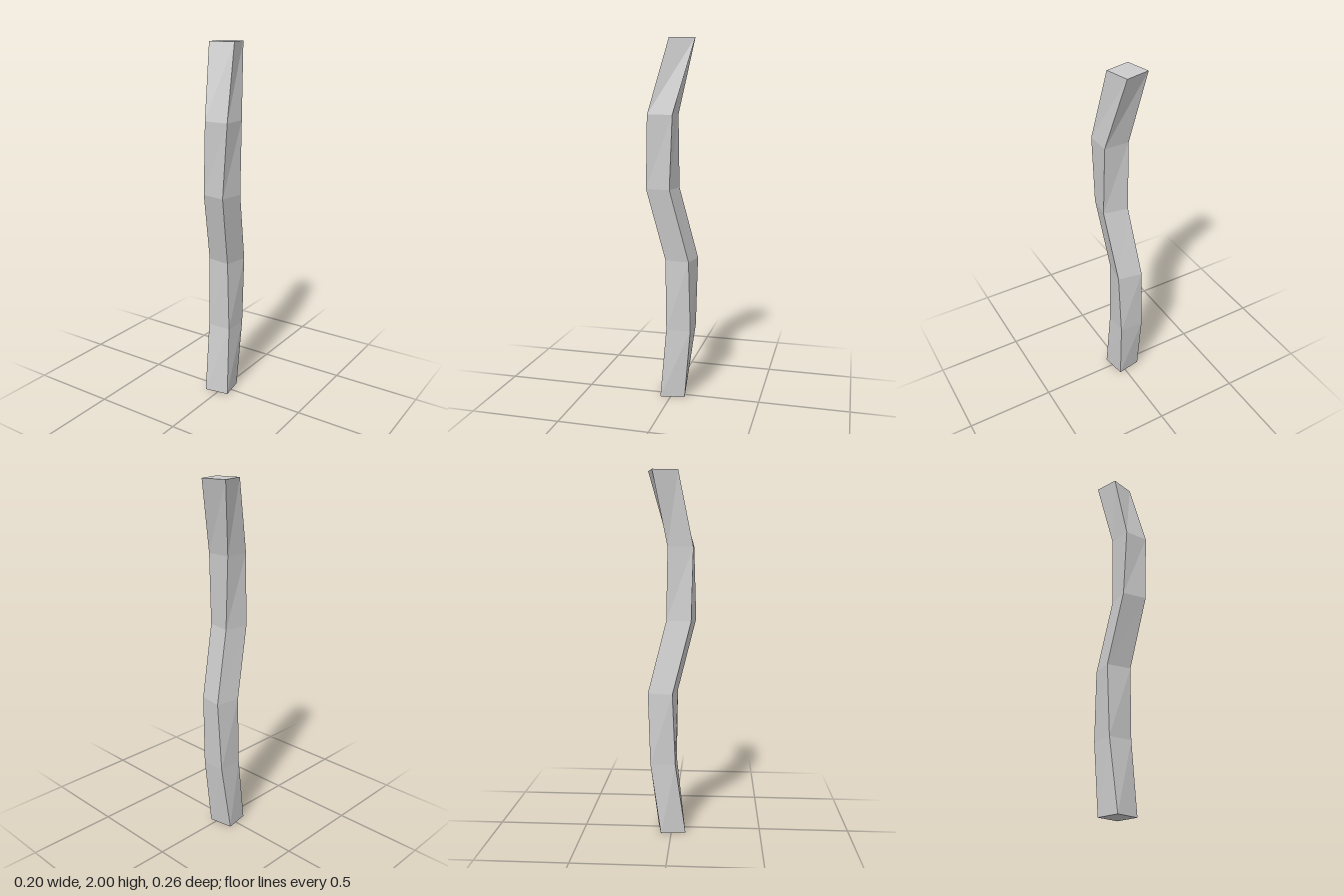
import * as THREE from 'three';

// Square sections from bottom to top: centre x, centre z, twist in degrees
const SECTIONS = [
  [-0.02, 0, -9.5],
  [-0.019, -0.046, 0.5],
  [-0.014, -0.05, 9.7],
  [0.02, 0.05, 9.5],
  [0.027, 0.047, 0],
  [-0.018, -0.048, -13.4],
];
const WIDTH = 0.139;
const HEIGHT = 2;

export function createModel() {
  const group = new THREE.Group();
  group.name = 'crookedPost';

  // Segmented square bar, each ring shifted and twisted
  const steps = SECTIONS.length - 1;
  const bar = new THREE.BoxGeometry(WIDTH, HEIGHT, WIDTH, 1, steps, 1);
  bar.translate(0, HEIGHT / 2, 0);
  const pos = bar.attributes.position;
  for (let i = 0; i < pos.count; i++) {
    const x = pos.getX(i), y = pos.getY(i), z = pos.getZ(i);
    const [cx, cz, twist] = SECTIONS[Math.round((y / HEIGHT) * steps)];
    const a = THREE.MathUtils.degToRad(twist);
    const c = Math.cos(a), s = Math.sin(a);
    pos.setXYZ(i, cx + x * c - z * s, y, cz + x * s + z * c);
  }
  const geometry = bar.toNonIndexed();
  geometry.computeVertexNormals();

  const material = new THREE.MeshStandardMaterial({ color: 0xcccccc, flatShading: true });
  const post = new THREE.Mesh(geometry, material);
  post.name = 'post';
  group.add(post);
  return group;
}
